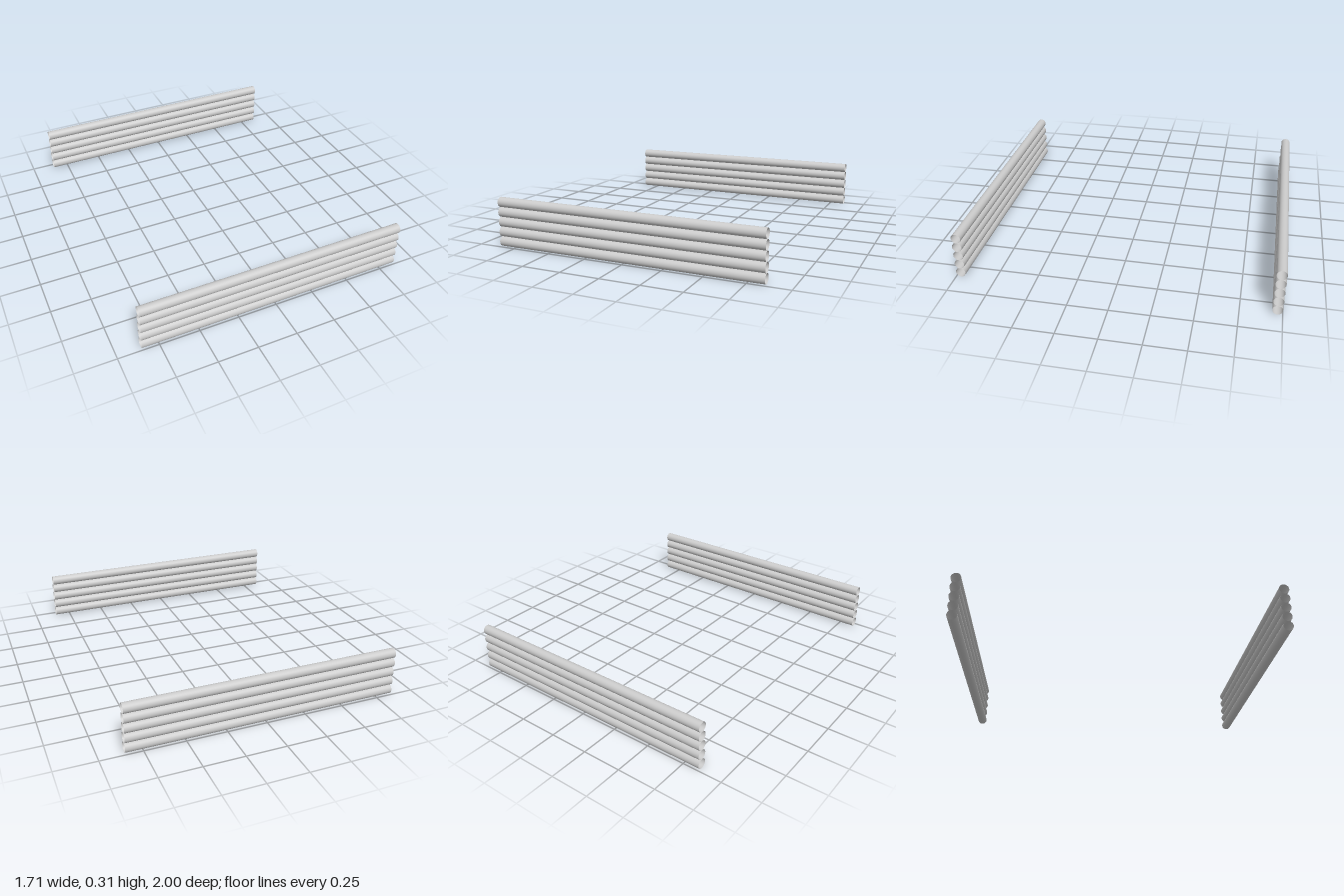
import * as THREE from 'three';

const LENGTH = 1.706;
const RADIUS = 0.031;
const LOGS_PER_WALL = 5;

export function createModel() {
  const model = new THREE.Group();
  model.name = 'logWalls';

  // Open-ended hollow log lying along x
  const logGeometry = new THREE.CylinderGeometry(RADIUS, RADIUS, LENGTH, 32, 1, true);
  logGeometry.rotateZ(Math.PI / 2);
  const material = new THREE.MeshStandardMaterial({ color: 0xcccccc, side: THREE.DoubleSide });

  // Two facing walls, each a stack of touching logs
  for (const [name, side] of [['frontWall', 1], ['backWall', -1]]) {
    const wall = new THREE.Group();
    wall.name = name;
    wall.position.z = side * (1 - RADIUS);
    for (let i = 0; i < LOGS_PER_WALL; i++) {
      const log = new THREE.Mesh(logGeometry, material);
      log.name = `log${i + 1}`;
      log.position.y = RADIUS * (2 * i + 1);
      wall.add(log);
    }
    model.add(wall);
  }
  return model;
}
